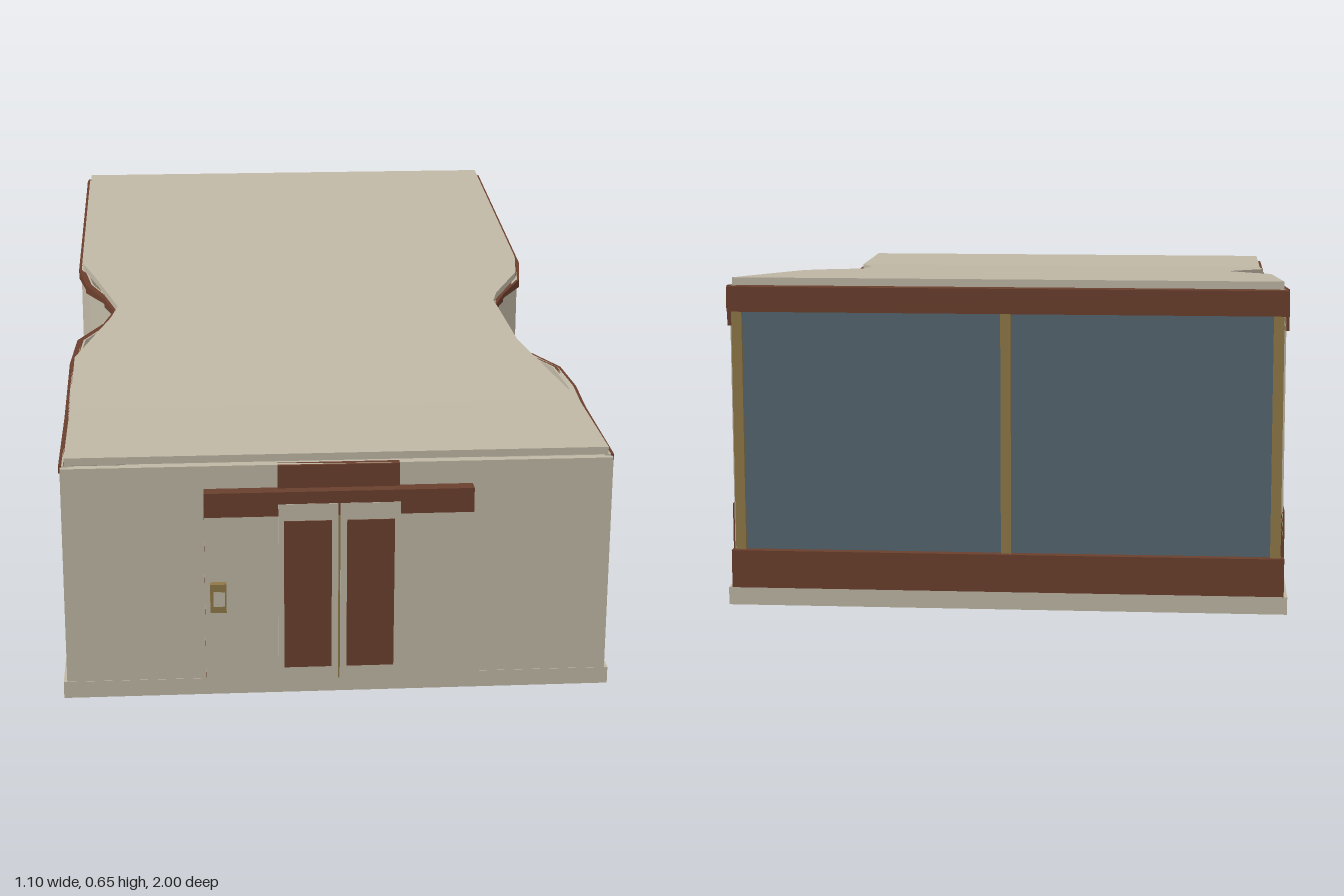
import * as THREE from 'three';

const paint = (name, color) => {
  const m = new THREE.MeshStandardMaterial({ color });
  m.name = name;
  return m;
};

export function createModel() {
  const beige = paint('beige', 0xbfb7a5);
  const brown = paint('brown', 0x6a3f2d);
  const glass = paint('glass', 0x55666f);
  const tan = paint('tan', 0x8f7847);

  const model = new THREE.Group();
  model.name = 'building';

  const add = (name, geometry, material, parent = model) => {
    const mesh = new THREE.Mesh(geometry, material);
    mesh.name = name;
    parent.add(mesh);
    return mesh;
  };

  // Box given by its limits
  const box = (name, material, x0, x1, y0, y1, z0, z1, parent) => {
    const g = new THREE.BoxGeometry(x1 - x0, y1 - y0, z1 - z0);
    g.translate((x0 + x1) / 2, (y0 + y1) / 2, (z0 + z1) / 2);
    return add(name, g, material, parent);
  };

  // Capped loft through rectangles { z, x0, x1, y0, y1 }, running from front to back
  const loft = (sections) => {
    const rings = sections.map(({ z, x0, x1, y0, y1 }) =>
      [[x0, y0, z], [x1, y0, z], [x1, y1, z], [x0, y1, z]]);
    const out = [];
    const quad = (p, q, r, s) => out.push(...p, ...q, ...r, ...p, ...r, ...s);
    for (let i = 0; i < rings.length - 1; i++) {
      const a = rings[i], b = rings[i + 1];
      for (let j = 0; j < 4; j++) {
        const k = (j + 1) % 4;
        quad(a[j], b[j], b[k], a[k]);
      }
    }
    const f = rings[0], e = rings[rings.length - 1];
    quad(f[0], f[1], f[2], f[3]);
    quad(e[0], e[3], e[2], e[1]);
    const g = new THREE.BufferGeometry();
    g.setAttribute('position', new THREE.Float32BufferAttribute(out, 3));
    g.computeVertexNormals();
    return g;
  };

  // Roof height: level at the front, rising towards the back
  const roofTop = (z) => 0.505 + 0.145 * Math.max(0, (0.65 - z) / 1.63);
  const roofUnder = (z) => roofTop(z) - 0.015;

  // Floor slab
  box('floorSlab', beige, -0.55, 0.55, 0, 0.035, -1, 0.963);

  // Waisted roof: z, left edge, right edge
  const roofPlan = [
    [0.95, -0.535, 0.535], [0.65, -0.535, 0.532], [0.36, -0.535, 0.468],
    [0.3, -0.516, 0.455], [0.12, -0.46, 0.443], [0.05, -0.446, 0.438],
    [0, -0.46, 0.452], [-0.14, -0.5, 0.52], [-0.25, -0.535, 0.535],
    [-0.98, -0.535, 0.535],
  ];
  add('roof', loft(roofPlan.map(([z, x0, x1]) =>
    ({ z, x0, x1, y0: roofUnder(z), y1: roofTop(z) }))), beige);

  // Side walls: z, distance from the middle, underside of the fascia behind that point
  const rightPlan = [
    [0.95, 0.54, 0.475], [0.65, 0.54, 0.475], [0.54, 0.54, 0.485],
    [0.43, 0.525, 0.492], [0.32, 0.458, 0.502], [0.19, 0.446, 0.515],
    [0.04, 0.44, 0.532], [-0.03, 0.468, 0.54], [-0.13, 0.522, 0.548],
    [-0.25, 0.54, 0.555], [-0.98, 0.54, 0.555],
  ];
  const leftPlan = [
    [0.95, 0.54, 0.475], [0.65, 0.54, 0.475], [0.36, 0.54, 0.492],
    [0.22, 0.528, 0.505], [0.12, 0.472, 0.52], [0.04, 0.45, 0.532],
    [-0.04, 0.474, 0.54], [-0.14, 0.52, 0.548], [-0.25, 0.54, 0.555],
    [-0.98, 0.54, 0.555],
  ];
  const sideWall = (name, plan, side) => {
    const wall = new THREE.Group();
    wall.name = name;
    model.add(wall);
    const section = ([z, d], inner, outer, y0, y1) => {
      const a = side * (d + inner), b = side * (d + outer);
      return { z, x0: Math.min(a, b), x1: Math.max(a, b), y0, y1 };
    };
    add('wallPanel', loft(plan.map((p) =>
      section(p, -0.012, 0, 0.035, roofUnder(p[0])))), beige, wall);
    add('wallBase', loft(plan.map((p) =>
      section(p, -0.006, 0.003, 0.035, 0.2))), brown, wall);
    // Fascia steps up with each wall bay
    for (let i = 0; i < plan.length - 1; i++) {
      add('fascia', loft([plan[i], plan[i + 1]].map((p) =>
        section(p, -0.008, 0.006, plan[i][2], roofUnder(p[0])))), brown, wall);
    }
  };
  sideWall('leftWall', rightPlan, 1);
  sideWall('rightWall', leftPlan, -1);

  // Front wall
  box('frontWall', beige, -0.543, 0.543, 0.035, 0.487, 0.945, 0.962);

  // Entrance with sliding doors
  const entrance = new THREE.Group();
  entrance.name = 'entrance';
  model.add(entrance);
  box('doorHeader', brown, -0.265, 0.265, 0.39, 0.44, 0.96, 0.99, entrance);
  box('headerBlock', brown, -0.12, 0.12, 0.44, 0.487, 0.95, 0.968, entrance);
  for (const s of [-1, 1]) {
    const span = (name, material, a, b, y0, y1, z0, z1) =>
      box(name, material, Math.min(s * a, s * b), Math.max(s * a, s * b), y0, y1, z0, z1, entrance);
    span('sidePanelCore', brown, 0.12, 0.265, 0.035, 0.39, 0.96, 0.976);
    span('sidePanel', beige, 0.12, 0.265, 0.038, 0.39, 0.976, 0.984);
    span('door', beige, 0.002, 0.12, 0.04, 0.415, 0.962, 0.991);
    span('doorInset', brown, 0.015, 0.109, 0.068, 0.38, 0.991, 0.993);
  }
  box('doorSeam', tan, -0.002, 0.002, 0.04, 0.415, 0.962, 0.988, entrance);

  // Entry keypad
  box('keypad', tan, -0.255, -0.223, 0.192, 0.252, 0.984, 0.998, entrance);
  box('keypadScreen', beige, -0.249, -0.226, 0.206, 0.236, 0.998, 1, entrance);

  // Glazed back
  const back = new THREE.Group();
  back.name = 'glazedBack';
  model.add(back);
  box('window', glass, -0.53, 0.53, 0.1, 0.595, -0.982, -0.972, back);
  box('backSill', brown, -0.543, 0.543, 0.035, 0.11, -1, -0.97, back);
  box('backHeader', brown, -0.543, 0.543, 0.585, 0.634, -1, -0.97, back);
  for (const x of [-0.526, 0, 0.526]) {
    box('windowPost', tan, x - 0.01, x + 0.01, 0.11, 0.585, -0.99, -0.97, back);
  }

  return model;
}
